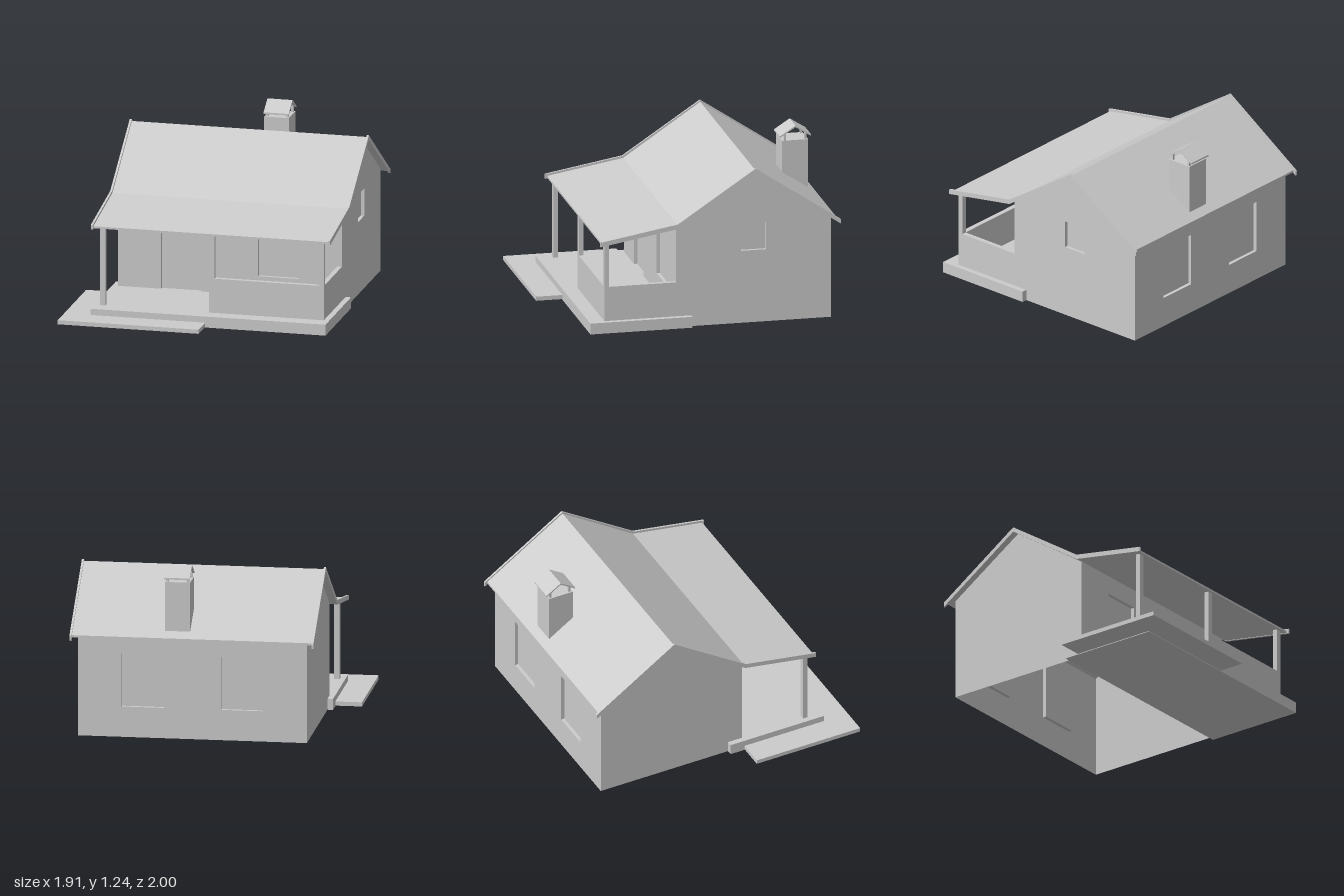
import * as THREE from 'three';

const GREY = new THREE.MeshStandardMaterial({ color: 0xcccccc });
const THIN = new THREE.MeshStandardMaterial({ color: 0xcccccc, side: THREE.DoubleSide });

export function createModel() {
  const house = new THREE.Group();
  house.name = 'house';

  const add = (name, geometry, material = GREY, parent = house) => {
    const mesh = new THREE.Mesh(geometry, material);
    mesh.name = name;
    parent.add(mesh);
    return mesh;
  };

  // Box given by its limits on each axis
  const block = (name, [x0, x1], [y0, y1], [z0, z1]) =>
    add(name, new THREE.BoxGeometry(x1 - x0, y1 - y0, z1 - z0)
      .translate((x0 + x1) / 2, (y0 + y1) / 2, (z0 + z1) / 2));

  const outline = (points) => new THREE.Shape(points.map(([u, v]) => new THREE.Vector2(u, v)));

  // Side profile of [z, y] points, extruded from x0 to x1
  const profile = (name, points, x0, x1) =>
    add(name, new THREE.ExtrudeGeometry(outline(points), { depth: x1 - x0, bevelEnabled: false })
      .rotateY(-Math.PI / 2).translate(x1, 0, 0));

  // Band of constant vertical thickness hanging under a top line
  const band = (name, top, thickness, x0, x1) =>
    profile(name, [...top, ...top.map(([z, y]) => [z, y - thickness]).reverse()], x0, x1);

  // Thin wall with openings [u0, u1, v0, v1], each closed by a shallow recessed panel
  const wall = (name, points, openings, turn, x, z) => {
    const group = new THREE.Group();
    group.name = name;
    group.rotation.y = turn;
    group.position.set(x, 0, z);
    house.add(group);
    const shape = outline(points);
    const depth = 0.025;
    for (const [u0, u1, v0, v1, label] of openings) {
      shape.holes.push(new THREE.Path(
        [[u0, v0], [u0, v1], [u1, v1], [u1, v0]].map(([u, v]) => new THREE.Vector2(u, v))));
      const recess = new THREE.BoxGeometry(u1 - u0, v1 - v0, depth);
      const faces = Array.from(recess.index.array);
      faces.splice(24, 6); // leave the outer face open
      recess.setIndex(faces);
      recess.translate((u0 + u1) / 2, (v0 + v1) / 2, -depth / 2);
      add(label, recess, THIN, group);
    }
    add(name + 'Surface', new THREE.ShapeGeometry(shape), THIN, group);
  };

  // House walls
  const [xr, xl, zf, zb, eave, ridge, zr] = [-0.73, 0.9, 0.18, -0.94, 0.745, 1.115, -0.38];
  wall('frontWall', [[xr, 0], [xl, 0], [xl, eave], [xr, eave]], [
    [-0.415, -0.12, 0.08, 0.605, 'door'],
    [0.29, 0.59, 0.22, 0.605, 'frontWindow'],
  ], 0, 0, zf);
  wall('backWall', [[-xl, 0], [-xr, 0], [-xr, eave], [-xl, eave]], [
    [0.12, 0.415, 0.22, 0.605, 'backWindow'],
    [-0.59, -0.29, 0.22, 0.605, 'backWindow'],
  ], Math.PI, 0, zb);
  const gable = [[zf, 0], [zf, eave], [zr, ridge], [zb, eave], [zb, 0]];
  wall('leftGable', gable.map(([z, y]) => [-z, y]),
    [[0.29, 0.47, 0.53, 0.73, 'gableWindow']], Math.PI / 2, xl, 0);
  wall('rightGable', gable, [], -Math.PI / 2, xr, 0);

  // Roof sheet and the boards closing its ends
  band('roof', [[0.725, 0.662], [0.175, 0.757], [-0.383, 1.132], [-0.98, 0.735]], 0.015, -0.77, 0.94);
  const boardLine = [[0.74, 0.675], [0.18, 0.772], [-0.383, 1.145], [-1, 0.733]];
  for (const x of [-0.785, 0.94]) band('bargeboard', boardLine, 0.034, x, x + 0.015);

  // Porch floor and step
  block('porchFloor', [-0.77, 0.94], [0, 0.08], [0.07, 0.81]);
  block('step', [-0.96, 0.065], [0.005, 0.035], [0.18, 1]);

  // Porch posts and parapet
  for (const [x, y] of [[-0.73, 0.08], [0.065, 0.33], [0.86, 0.33]]) {
    block('porchPost', [x, x + 0.04], [y, 0.655], [0.665, 0.7]);
  }
  block('frontParapet', [0.065, 0.9], [0.08, 0.33], [0.665, 0.7]);
  block('sideParapet', [0.865, 0.9], [0.08, 0.33], [0.18, 0.665]);

  // Chimney with a small gabled cap on four legs
  profile('chimney', [[-0.73, 0.89], [-0.73, 1.13], [-0.92, 1.13], [-0.92, 0.765]], 0.105, 0.285);
  for (const x of [0.115, 0.26]) {
    for (const z of [-0.76, -0.91]) {
      block('capLeg', [x, x + 0.018], [1.13, 1.175], [z, z + 0.015]);
    }
  }
  band('chimneyCap', [[-0.715, 1.165], [-0.827, 1.237], [-0.94, 1.165]], 0.012, 0.105, 0.288);

  return house;
}
